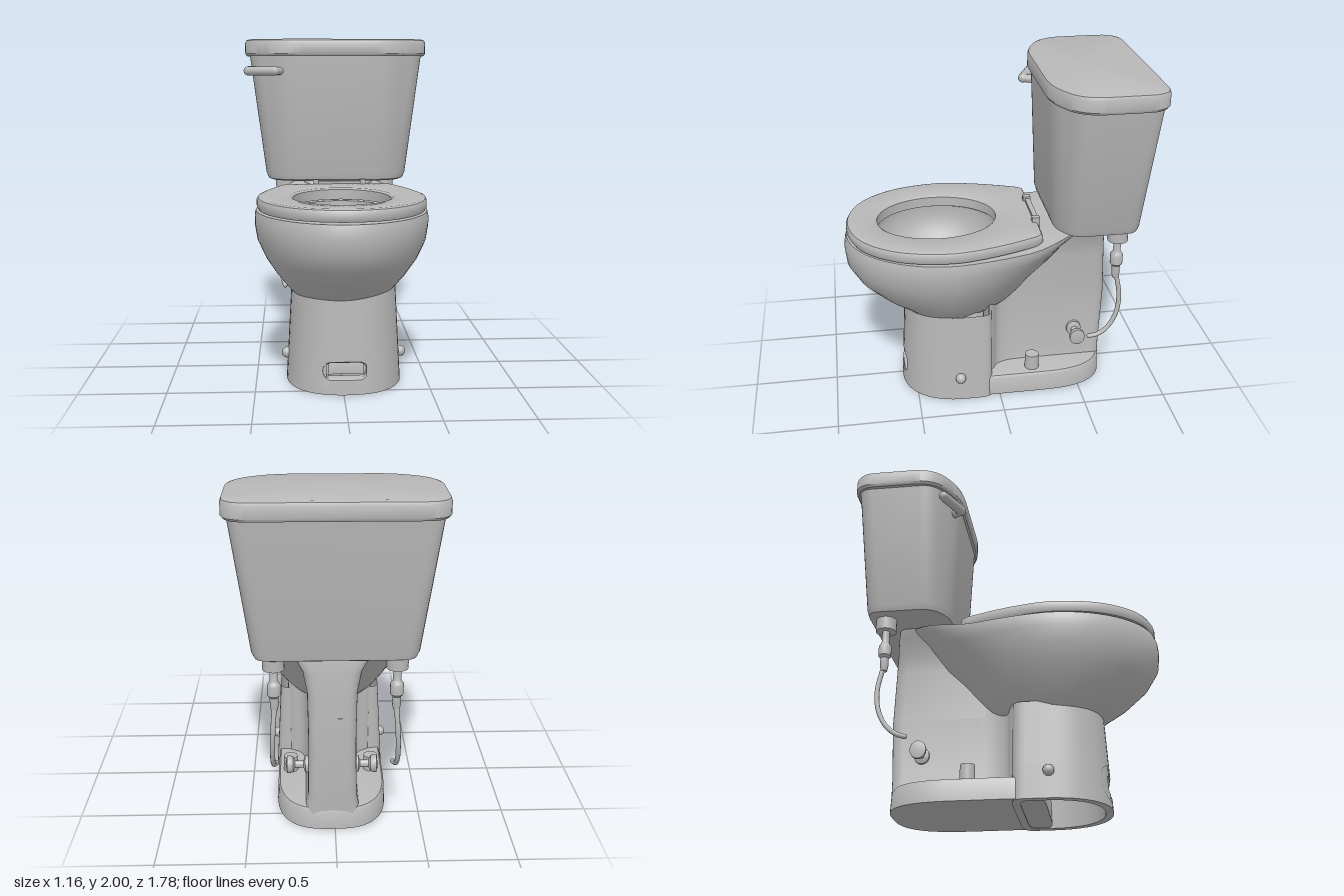
import * as THREE from 'three';
import { toCreasedNormals } from 'three/addons/utils/BufferGeometryUtils.js';

const V = (x, y, z) => new THREE.Vector3(x, y, z);
const N = 64;

// Skins a list of closed rings; rings run front -> +x -> back -> -x
function loft(rings, { bottom = true, top = true, skip = () => false, crease = 0.6 } = {}) {
  const n = rings[0].length, pts = rings.flat(), index = [];
  for (let i = 0; i < rings.length - 1; i++) {
    for (let j = 0; j < n; j++) {
      const a = i * n + j, b = i * n + (j + 1) % n, c = b + n, d = a + n;
      const mid = V(0, 0, 0).add(pts[a]).add(pts[b]).add(pts[c]).add(pts[d]).multiplyScalar(0.25);
      if (!skip(mid)) index.push(a, b, c, a, c, d);
    }
  }
  const cap = (start, ring, flip) => {
    const mid = ring.reduce((s, p) => s.add(p), V(0, 0, 0)).divideScalar(n);
    const m = pts.push(mid) - 1;
    for (let j = 0; j < n; j++) {
      const a = start + j, b = start + (j + 1) % n;
      index.push(...(flip ? [b, a, m] : [a, b, m]));
    }
  };
  if (bottom) cap(0, rings[0], true);
  if (top) cap((rings.length - 1) * n, rings[rings.length - 1], false);
  const g = new THREE.BufferGeometry().setFromPoints(pts);
  g.setIndex(index);
  return toCreasedNormals(g, crease);
}

// Oval ring with separate front and back reach and squareness
function egg(y, w, f, zc, b, pf = 2, pb = 2) {
  return Array.from({ length: N }, (_, i) => {
    const t = i / N * Math.PI * 2, s = Math.sin(t), c = Math.cos(t), e = 2 / (c >= 0 ? pf : pb);
    const reach = c >= 0 ? f - zc : b - zc;
    return V(w * Math.sign(s) * Math.abs(s) ** e, y, zc + reach * Math.abs(c) ** e);
  });
}

// Half outline (x >= 0, front to back) mirrored, with rounded corners
function roundedRing(y, half, r) {
  const poly = [...half, ...half.slice().reverse().map(([x, z]) => [-x, z])].map(([x, z]) => V(x, y, z));
  return poly.flatMap((p, i) => {
    const prev = poly[(i + poly.length - 1) % poly.length], next = poly[(i + 1) % poly.length];
    const toward = q => p.clone().add(q.clone().sub(p).setLength(Math.min(r, q.distanceTo(p) * 0.45)));
    return new THREE.QuadraticBezierCurve3(toward(prev), p, toward(next)).getPoints(6);
  });
}

export function createModel() {
  const root = new THREE.Group();
  const porcelain = new THREE.MeshStandardMaterial({ color: 0xb8b8b8, side: THREE.DoubleSide });
  porcelain.name = 'porcelain grey';
  const add = (name, geo, x = 0, y = 0, z = 0) => {
    const m = new THREE.Mesh(geo, porcelain);
    m.name = name;
    m.position.set(x, y, z);
    root.add(m);
    return m;
  };

  // Tank and lid: box with cut front corners
  const tankRing = (y, x, xf, front, cut, back, r) =>
    roundedRing(y, [[xf, front], [x, cut], [x, back]], r);
  add('tank', loft([
    tankRing(1.105, 0.41, 0.29, -0.345, -0.42, -0.77, 0.07),
    tankRing(1.115, 0.435, 0.305, -0.32, -0.405, -0.79, 0.08),
    tankRing(1.15, 0.45, 0.31, -0.31, -0.4, -0.798, 0.08),
    tankRing(1.91, 0.55, 0.335, -0.28, -0.4, -0.862, 0.08),
  ]));
  add('tankLid', loft([
    tankRing(1.895, 0.57, 0.345, -0.265, -0.39, -0.88, 0.13),
    tankRing(1.91, 0.58, 0.35, -0.255, -0.385, -0.89, 0.13),
    tankRing(1.975, 0.58, 0.35, -0.255, -0.385, -0.89, 0.13),
    tankRing(1.993, 0.573, 0.347, -0.262, -0.39, -0.883, 0.13),
    tankRing(2, 0.555, 0.34, -0.28, -0.4, -0.865, 0.12),
  ]));

  // Flush lever on the cut corner
  const lever = add('flushLever', new THREE.CapsuleGeometry(0.029, 0.185, 6, 14), -0.47, 1.802, -0.292);
  lever.quaternion.setFromUnitVectors(V(0, 1, 0), V(0.18, 0, 0.085).normalize());
  add('leverPivot', new THREE.TubeGeometry(
    new THREE.LineCurve3(V(-0.385, 1.802, -0.25), V(-0.34, 1.802, -0.34)), 1, 0.025, 12));

  // Bowl: [y, half width, front z, back z, deck shape amount]
  const zc = 0.27;
  const outer = [
    [0.49, 0.2, 0.42, 0.0, 0], [0.53, 0.275, 0.54, -0.07, 0], [0.58, 0.32, 0.6, -0.14, 0],
    [0.65, 0.375, 0.71, -0.2, 0], [0.75, 0.44, 0.82, -0.28, 0.15], [0.85, 0.485, 0.88, -0.38, 0.35],
    [0.94, 0.5, 0.89, -0.51, 0.7], [0.99, 0.5, 0.885, -0.6, 1], [1.02, 0.493, 0.875, -0.64, 1],
  ].map(([y, w, f, b, k]) => egg(y, w, f, zc, b).map(p => {
    if (p.z >= zc) return p;
    const t = Math.min(1, (zc - p.z) / (zc - b));
    const oval = Math.sqrt(1 - t * t) * (1 - 0.2 * t);
    const deck = (1 - 0.5 * t ** 1.5) * Math.sqrt(1 - t ** 8);
    const lift = y > 0.9 ? THREE.MathUtils.smoothstep(-p.z, 0.15, 0.6) * 0.08 : 0;
    return V(Math.sign(p.x) * w * THREE.MathUtils.lerp(oval, deck, k), y + lift, p.z);
  }));
  // Inner basin down to the drain: [y, x, z, half width, half length]
  const basin = [
    [1.02, 0, 0.34, 0.3, 0.37], [0.95, 0, 0.34, 0.305, 0.37], [0.85, 0, 0.33, 0.27, 0.33],
    [0.75, 0.005, 0.3, 0.2, 0.25], [0.66, 0.015, 0.25, 0.11, 0.14], [0.6, 0.02, 0.22, 0.055, 0.075],
    [0.55, 0.02, 0.21, 0.04, 0.06],
  ].map(([y, x, z, w, l]) => egg(y, w, z + l, z, z - l).map(p => p.setX(p.x + x)));
  add('bowl', loft([...outer, ...basin]));

  // Seat ring with an oval opening
  const side = [[0.25, 0.8], [0.42, 0.6], [0.487, 0.3], [0.45, 0.06], [0.36, -0.2], [0.335, -0.245], [0.28, -0.25]];
  const outline = new THREE.CatmullRomCurve3([
    V(0, 0, 0.872), ...side.map(([x, z]) => V(x, 0, z)), V(0, 0, -0.25),
    ...side.slice().reverse().map(([x, z]) => V(-x, 0, z)),
  ], true).getSpacedPoints(96).slice(0, 96);
  const seatOuter = (y, s) => outline.map(p => V(p.x * s, y, 0.3 + (p.z - 0.3) * s));
  const seatInner = (y, d) => outline.map(p => {
    const a = Math.atan2(p.x, p.z - 0.34);
    return V((0.28 + d) * Math.sin(a), y, 0.335 + (0.355 + d) * Math.cos(a));
  });
  add('seat', loft([
    seatInner(1.03, 0), seatOuter(1.03, 0.985), seatOuter(1.045, 1), seatOuter(1.08, 1),
    seatOuter(1.094, 0.985), seatOuter(1.1, 0.955), seatInner(1.1, 0.015), seatInner(1.09, 0), seatInner(1.03, 0),
  ], { bottom: false, top: false }));
  add('hingeBar', new THREE.BoxGeometry(0.3, 0.025, 0.03), 0.015, 1.105, -0.24);
  for (const x of [-0.135, 0.16]) add('hingeBlock', new THREE.BoxGeometry(0.035, 0.06, 0.045), x, 1.098, -0.237);

  // Hollow pedestal with a slot in its front
  const px = 0.015;
  const wallAt = y => ({ w: 0.337 - 0.055 * y, f: 0.58 - 0.06 * y });
  const wallRing = (y, inset) => {
    const { w, f } = wallAt(y);
    return egg(y, w - inset, f - inset, 0.2, 0.035 + inset, 2.3, 7);
  };
  add('pedestal', loft([
    ...[0.57, 0.2, 0.07, 0].map(y => wallRing(y, 0.045)),
    ...[0, 0.07, 0.2, 0.57].map(y => wallRing(y, 0)),
  ], { bottom: false, top: false, skip: p => p.z > 0.3 && Math.abs(p.x) < 0.11 && p.y > 0.07 && p.y < 0.2 }), px);

  // Curved panel around the slot: [straight half length, radius, depth]
  const slotRings = [[0.09, 0.105, -0.002], [0.09, 0.07, -0.002], [0.077, 0.052, 0], [0.075, 0.045, 0.012], [0.075, 0.045, 0.07]];
  add('frontSlot', loft(slotRings.map(([l, r, depth]) => Array.from({ length: 48 }, (_, i) => {
    const t = (i + 0.5) / 48 * Math.PI * 2;
    const x = Math.sign(Math.cos(t)) * l + r * Math.cos(t), y = 0.135 + r * Math.sin(t);
    const { w, f } = wallAt(y);
    return V(x, y, 0.2 + (f - 0.2) * (1 - Math.abs(x / w) ** 2.3) ** (1 / 2.3) - depth);
  })), { bottom: false, top: false }), px - 0.005);

  // Foot plate and the column behind the bowl
  add('footPlate', loft([
    egg(0.005, 0.325, 0.22, -0.25, -0.68, 8, 2.8), egg(0.115, 0.32, 0.22, -0.25, -0.675, 8, 2.8),
    egg(0.132, 0.31, 0.21, -0.25, -0.665, 8, 2.8), egg(0.138, 0.29, 0.2, -0.25, -0.64, 8, 2.8),
  ]), px);
  const columnRing = (y, w, back) => roundedRing(y,
    [[0.27, 0.07], [0.24, 0.03], [w + 0.03, 0], [w, -0.08], [w, back]], 0.07);
  add('rearColumn', loft([
    columnRing(0.1, 0.16, -0.67), columnRing(0.2, 0.14, -0.675), columnRing(0.55, 0.135, -0.69),
    columnRing(0.72, 0.135, -0.685),
  ]), px);
  const upperRing = (y, w, back, front) => roundedRing(y, [[w, front], [w, back]], 0.07);
  add('columnTop', loft([
    upperRing(0.55, 0.135, -0.69, 0.05), upperRing(0.85, 0.14, -0.68, -0.2),
    upperRing(0.98, 0.165, -0.67, -0.35), upperRing(1.06, 0.21, -0.66, -0.4), upperRing(1.107, 0.23, -0.65, -0.42),
  ]), px);

  // Mirrored fittings
  const valveProfile = [[0, 0], [0.05, 0], [0.05, 0.025], [0.022, 0.035], [0.022, 0.085], [0.045, 0.095],
    [0.052, 0.11], [0.052, 0.13], [0, 0.14]].map(([r, h]) => new THREE.Vector2(r, h));
  const fitting = [[0, 0.775], [0.018, 0.78], [0.024, 0.81], [0.024, 0.86], [0.037, 0.875], [0.037, 0.935], [0.027, 0.95],
    [0.022, 0.96], [0.022, 1.03], [0.06, 1.03], [0.06, 1.108], [0, 1.108]].map(([r, h]) => new THREE.Vector2(r, h));
  for (const s of [1, -1]) {
    add('boltCap', new THREE.CylinderGeometry(0.042, 0.045, 0.1, 18), px + s * 0.245, 0.18, -0.212);
    add('sideBolt', new THREE.SphereGeometry(0.032, 14, 10), px + s * 0.335, 0.155, 0.245);
    const valve = add('shutoffValve', toCreasedNormals(new THREE.LatheGeometry(valveProfile, 18), 0.6), px + s * 0.13, 0.33, -0.495);
    valve.rotation.z = -s * Math.PI / 2;
    valve.scale.z = 0.9;
    add('tankFitting', toCreasedNormals(new THREE.LatheGeometry(fitting, 18), 0.6), s * 0.335, 0, -0.692);
    const hose = new THREE.CatmullRomCurve3([V(s * 0.335, 0.8, -0.697), V(s * 0.345, 0.66, -0.72), V(s * 0.35, 0.54, -0.708),
      V(s * 0.35, 0.44, -0.66), V(s * 0.345, 0.39, -0.6), V(s * 0.335, 0.375, -0.55)]);
    add('supplyHose', new THREE.TubeGeometry(hose, 28, 0.014, 10));
    add('hoseEnd', new THREE.SphereGeometry(0.014, 10, 8), s * 0.335, 0.375, -0.55);
  }
  return root;
}
